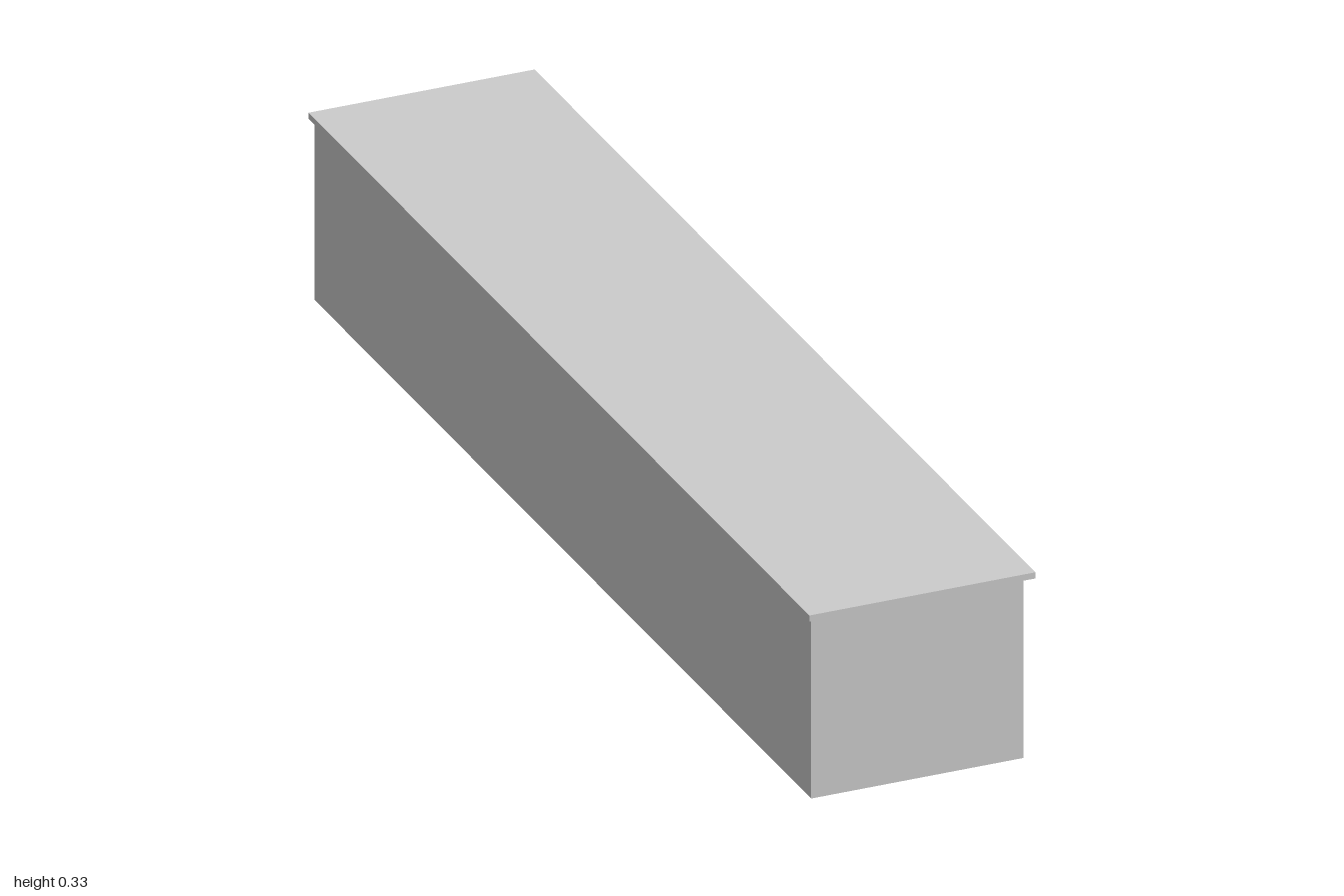
import * as THREE from 'three';

const material = new THREE.MeshStandardMaterial({ color: 0xcccccc, flatShading: true });

// Box given by its lower and upper corners
function box(name, [x0, y0, z0], [x1, y1, z1]) {
  const mesh = new THREE.Mesh(new THREE.BoxGeometry(x1 - x0, y1 - y0, z1 - z0), material);
  mesh.name = name;
  mesh.position.set((x0 + x1) / 2, (y0 + y1) / 2, (z0 + z1) / 2);
  return mesh;
}

// Panel profile: [share of the full outline, x]; slab, bevel, raised frame, sunken middle
const PROFILE = [
  [1, 0.172], [1, 0.187], [0.9, 0.191], [0.77, 0.191],
  [0.77, 0.196], [0.58, 0.2], [0.515, 0.2], [0.515, 0.192],
];

// Moulded panel facing +x, built from nested rectangles
function panel(name, y0, y1, z0, z1) {
  const h = (y1 - y0) / 2, w = (z1 - z0) / 2;
  const positions = [], index = [];
  for (const [s, x] of PROFILE) {
    for (const [y, z] of [[-1, -1], [1, -1], [1, 1], [-1, 1]]) positions.push(x, y * h * s, z * w * s);
  }
  for (let r = 0; r < PROFILE.length - 1; r++) {
    for (let i = 0; i < 4; i++) {
      const a = r * 4 + i, b = r * 4 + (i + 1) % 4;
      index.push(a, b, b + 4, a, b + 4, a + 4);
    }
  }
  const c = (PROFILE.length - 1) * 4;
  index.push(c, c + 1, c + 2, c, c + 2, c + 3);

  const indexed = new THREE.BufferGeometry();
  indexed.setAttribute('position', new THREE.Float32BufferAttribute(positions, 3));
  indexed.setIndex(index);
  const geometry = indexed.toNonIndexed();
  geometry.computeVertexNormals();
  const mesh = new THREE.Mesh(geometry, material);
  mesh.name = name;
  mesh.position.set(0, (y0 + y1) / 2, (z0 + z1) / 2);
  return mesh;
}

export function createModel() {
  const model = new THREE.Group();
  model.name = 'lowCabinet';

  // Carcass and the thin top that overhangs it
  model.add(box('cabinetBody', [-0.198, 0, -0.986], [0.172, 0.316, 0.998]));
  model.add(box('countertop', [-0.202, 0.316, -1], [0.192, 0.327, 1]));

  // Two stacked drawers near each end
  for (const [z0, z1] of [[0.585, 0.938], [-0.902, -0.549]]) {
    model.add(panel('lowerDrawer', 0.036, 0.159, z0, z1));
    model.add(panel('upperDrawer', 0.183, 0.306, z0, z1));
  }

  // Pair of doors in the middle
  for (const [z0, z1] of [[0.047, 0.402], [-0.337, 0.017]]) {
    model.add(panel('door', 0.056, 0.279, z0, z1));
  }
  return model;
}
